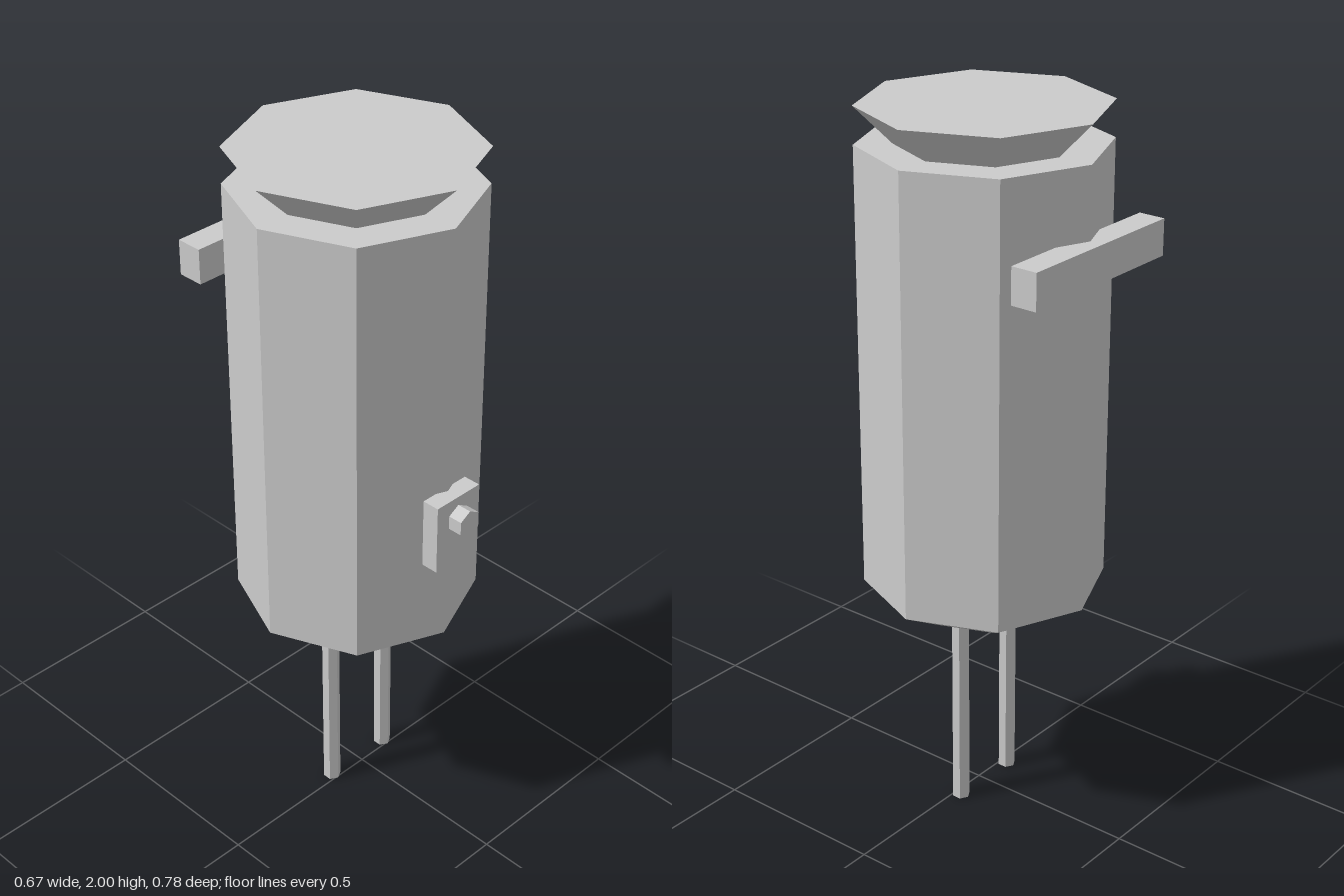
import * as THREE from 'three';

const material = new THREE.MeshStandardMaterial({ color: 0xcccccc, flatShading: true });

export function createModel() {
  const model = new THREE.Group();
  const axisZ = -0.02; // the body and legs sit slightly behind centre

  const add = (name, geometry, x, y, z) => {
    const mesh = new THREE.Mesh(geometry, material);
    mesh.name = name;
    mesh.position.set(x, y, z);
    model.add(mesh);
    return mesh;
  };

  // Upright prism between two heights
  const prism = (name, rTop, rBottom, y0, y1, sides, x = 0) =>
    add(name, new THREE.CylinderGeometry(rTop, rBottom, y1 - y0, sides), x, (y0 + y1) / 2, axisZ);

  // Octagonal body with tapered base and flared lid
  prism('body', 0.333, 0.333, 0.67, 1.9, 8);
  prism('taperedBase', 0.333, 0.2, 0.595, 0.67, 8);
  prism('flaredLid', 0.333, 0.233, 1.9, 2, 8);

  // Thin hexagonal legs
  for (const side of [1, -1]) {
    prism(side > 0 ? 'leftLeg' : 'rightLeg', 0.025, 0.025, 0, 0.6, 6, side * 0.105);
  }

  // Front plate with its hexagonal knob
  add('frontPlate', new THREE.BoxGeometry(0.156, 0.203, 0.05), 0, 1.038, 0.325);
  const knob = add('knob', new THREE.CylinderGeometry(0.039, 0.039, 0.042, 6), 0, 1.075, 0.37);
  knob.rotation.x = Math.PI / 2;

  // Crossbar on the back
  add('backBar', new THREE.BoxGeometry(0.534, 0.1, 0.076), 0, 1.655, -0.353);

  return model;
}
